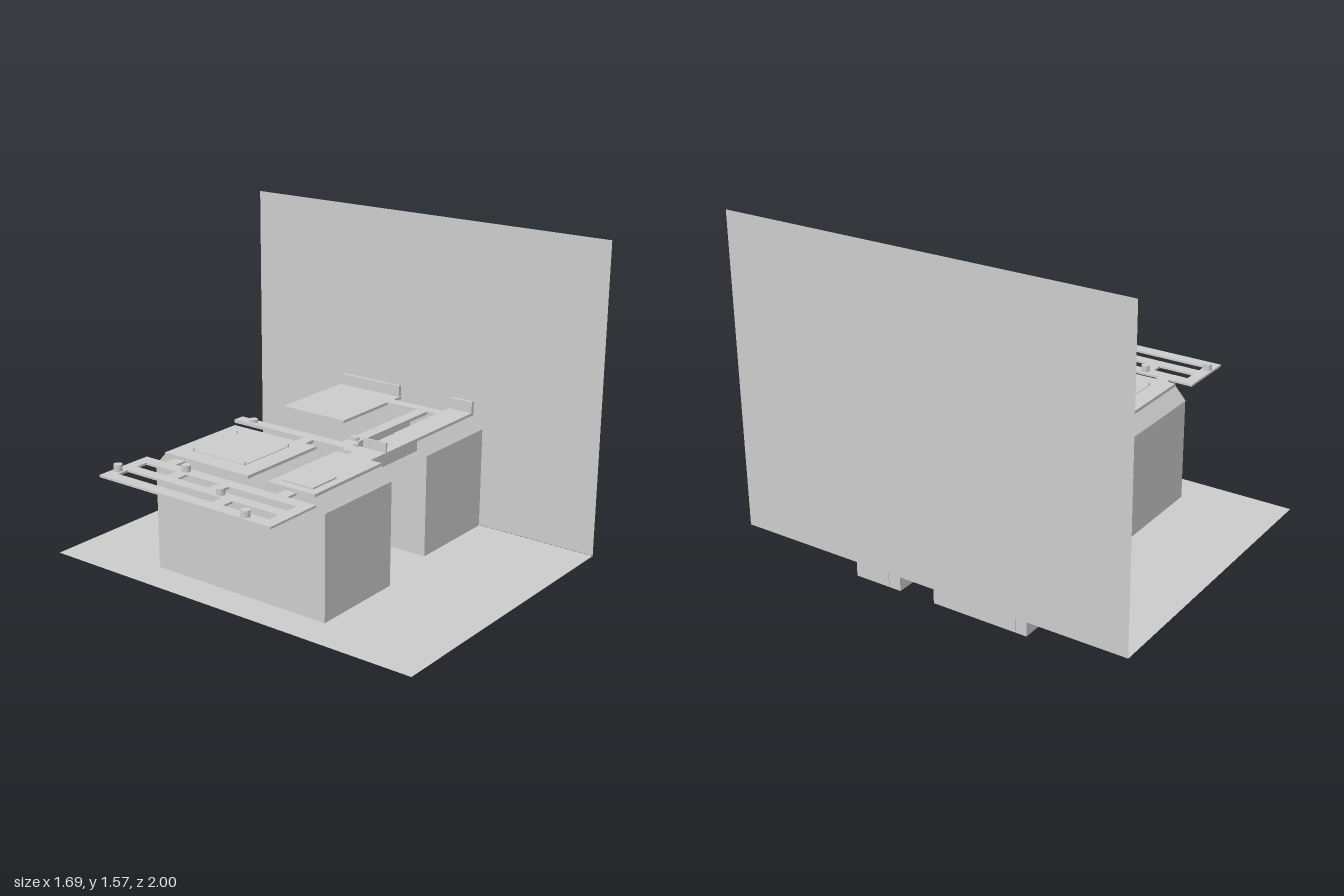
import * as THREE from 'three';

const mat = new THREE.MeshStandardMaterial({ color: 0xcccccc, flatShading: true });
const sheetMat = new THREE.MeshStandardMaterial({ color: 0xcccccc, side: THREE.DoubleSide });

export function createModel() {
  const root = new THREE.Group();

  const add = (name, geo, parent = root, m = mat) => {
    const mesh = new THREE.Mesh(geo, m);
    mesh.name = name;
    parent.add(mesh);
    return mesh;
  };
  // box from its limits
  const box = (name, x0, x1, y0, y1, z0, z1, parent) => {
    const mesh = add(name, new THREE.BoxGeometry(x1 - x0, y1 - y0, z1 - z0), parent);
    mesh.position.set((x0 + x1) / 2, (y0 + y1) / 2, (z0 + z1) / 2);
    return mesh;
  };
  const stub = (name, x, z, r, y0, y1) =>
    add(name, new THREE.CylinderGeometry(r, r, y1 - y0, 16)).position.set(x, (y0 + y1) / 2, z);
  const trace = (path, pts) => {
    pts.forEach(([x, z], i) => (i ? path.lineTo(x, -z) : path.moveTo(x, -z)));
    path.closePath();
    return path;
  };
  // horizontal plate from an (x, z) outline with rectangular holes
  const plate = (name, pts, y0, y1, holes = []) => {
    const shape = trace(new THREE.Shape(), pts);
    for (const [x0, x1, z0, z1] of holes)
      shape.holes.push(trace(new THREE.Path(), [[x0, z0], [x0, z1], [x1, z1], [x1, z0]]));
    const geo = new THREE.ExtrudeGeometry(shape, { depth: y1 - y0, bevelEnabled: false });
    geo.rotateX(-Math.PI / 2).translate(0, y0, 0);
    return add(name, geo);
  };

  // ground sheet and tall side sheet
  const ground = add('ground', new THREE.PlaneGeometry(1.5, 2), root, sheetMat);
  ground.rotation.x = -Math.PI / 2;
  ground.position.set(0.09, 0.073, 0);
  const wall = add('sideWall', new THREE.PlaneGeometry(2, 1.5), root, sheetMat);
  wall.rotation.y = Math.PI / 2;
  wall.position.set(0.842, 0.823, 0);

  // open-bottomed block with sloped eaves, roof slab and two rows of louvres
  const EAVE = 0.57, ROOF = 0.63, TOP = 0.645, RUN = 0.055;
  function building(name, x0, x1, z0, z1, gapRows = []) {
    const g = new THREE.Group();
    g.name = name;
    root.add(g);
    const profile = new THREE.Shape([
      [-z0, 0], [-z0, EAVE], [-z0 - RUN, ROOF], [-z1 + RUN, ROOF], [-z1, EAVE], [-z1, 0],
    ].map(([a, b]) => new THREE.Vector2(a, b)));
    const geo = new THREE.ExtrudeGeometry(profile, { depth: x1 - x0, bevelEnabled: false });
    geo.rotateY(Math.PI / 2).translate(x0, 0, 0);
    // leave the underside open
    const p = geo.attributes.position, kept = [];
    for (let i = 0; i < p.count; i += 3)
      if (Math.max(p.getY(i), p.getY(i + 1), p.getY(i + 2)) > 0.001) kept.push(i, i + 1, i + 2);
    geo.clearGroups();
    geo.setIndex(kept);
    add('walls', geo, g);
    box('roofSlab', x0, x1, ROOF, TOP, z0 + RUN, z1 - RUN, g);
    // louvres
    const n = 17, step = (x1 - x0) / n, tilt = Math.atan2(ROOF - EAVE, RUN);
    const louvre = new THREE.BoxGeometry(step * 0.72, 0.012, Math.hypot(RUN, ROOF - EAVE));
    for (const side of [-1, 1]) {
      for (let i = 0; i < n; i++) {
        const x = x0 + (i + 0.5) * step;
        if (gapRows.includes(side) && x > 0.715 && x < 0.77) continue;
        const m = add('louvre', louvre, g);
        m.rotation.x = side * tilt;
        m.position.set(x, (EAVE + ROOF) / 2, side < 0 ? z0 + RUN / 2 : z1 - RUN / 2);
      }
    }
  }
  building('rearLeftBlock', -0.49, -0.01, -0.515, 0.08);
  building('frontLeftBlock', -0.49, -0.01, 0.08, 0.44);
  building('rearRightBlock', 0.355, 0.835, -0.515, -0.04, [1]);
  building('frontRightBlock', 0.355, 0.835, 0.14, 0.38, [-1]);

  // end parapets
  for (const [z0, z1] of [[-0.46, -0.1], [0.2, 0.325]])
    box('endParapet', 0.82, 0.838, 0.008, 0.7, z0, z1);

  // roof court with corner posts, and rooftop box
  box('roofCourt', -0.4, -0.1, 0.63, 0.648, -0.37, -0.07);
  for (const x of [-0.4, -0.1])
    for (const z of [-0.37, -0.07]) stub('cornerPost', x, z, 0.005, 0.008, 0.66);
  box('rooftopBox', -0.45, -0.285, 0.008, 0.652, 0.18, 0.345);

  // raised walkway between the blocks
  plate('walkway', [
    [0.05, -0.515], [0.11, -0.515], [0.11, 0.08], [0.715, 0.08], [0.715, -0.1], [0.77, -0.1],
    [0.77, 0.2], [0.715, 0.2], [0.715, 0.14], [0.11, 0.14], [0.11, 0.2], [0.03, 0.2],
    [0.03, 0.14], [0.05, 0.14], [0.05, -0.04], [-0.01, -0.04], [-0.01, -0.1], [0.05, -0.1],
  ], 0.63, 0.645);
  // covered bridge
  box('bridge', -0.01, 0.355, 0.585, 0.645, 0.2, 0.325);
  box('bridgeParapet', 0.107, 0.117, 0.645, 0.69, 0.2, 0.325);
  stub('bridgeStub', 0.1, 0.17, 0.01, 0.645, 0.66);
  stub('walkwayStub', 0.08, -0.42, 0.02, 0.645, 0.66);
  stub('walkwayStub', 0.17, 0.11, 0.02, 0.645, 0.66);

  // slotted terrace with two arms to the blocks
  plate('terrace', [
    [-0.845, -0.515], [-0.55, -0.515], [-0.55, -0.4], [-0.49, -0.4], [-0.49, -0.34], [-0.55, -0.34],
    [-0.55, 0.23], [-0.49, 0.23], [-0.49, 0.29], [-0.55, 0.29], [-0.55, 0.44], [-0.845, 0.44],
  ], 0.62, 0.63, [
    [-0.785, -0.725, -0.46, 0.08], [-0.785, -0.725, 0.14, 0.385],
    [-0.67, -0.61, -0.46, -0.28], [-0.67, -0.61, -0.22, -0.04], [-0.67, -0.61, 0.02, 0.385],
  ]);
  for (const [x, z] of [[-0.755, -0.49], [-0.58, -0.25], [-0.697, 0.05], [-0.82, 0.29]])
    stub('terraceStub', x, z, 0.02, 0.63, 0.66);

  return root;
}
